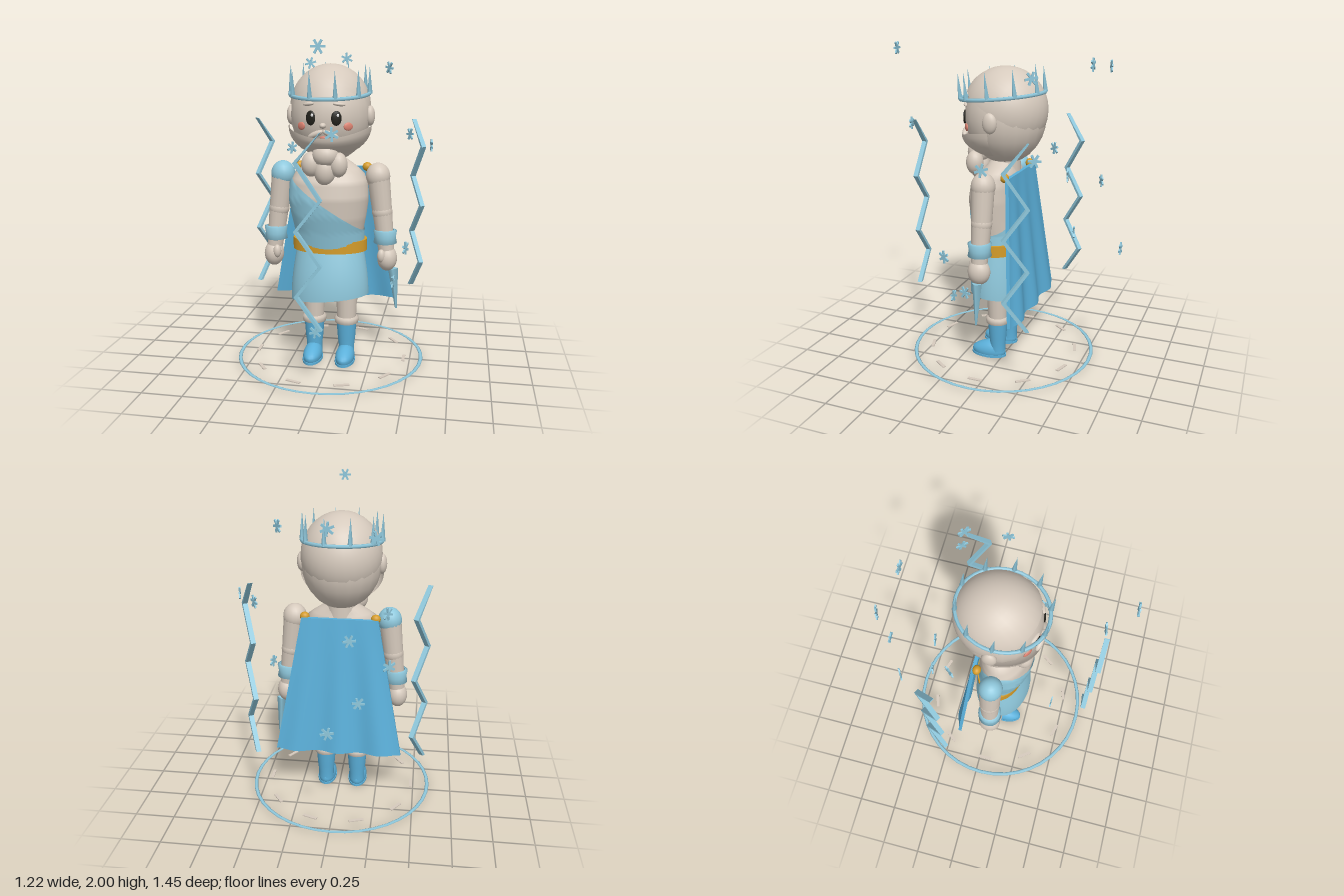
import * as THREE from 'three';
import { ParametricGeometry } from 'three/addons/geometries/ParametricGeometry.js';

const material = (name, color, side = THREE.FrontSide) => {
  const m = new THREE.MeshStandardMaterial({ color, side });
  m.name = name;
  return m;
};

export function createModel() {
  const stone = material('warm stone', 0xd6cabd, THREE.DoubleSide);
  const pale = material('pale ice blue', 0x8fc8dc, THREE.DoubleSide);
  const blue = material('cape blue', 0x5bb0da, THREE.DoubleSide);
  const gold = material('gold', 0xd49c2a);
  const black = material('eye black', 0x22211b);
  const white = material('white', 0xffffff);
  const pink = material('blush', 0xdc8372);

  const root = new THREE.Group();
  root.name = 'winterKing';
  const body = new THREE.Group();
  body.name = 'figure';
  body.position.x = -0.012;
  root.add(body);

  const add = (name, geo, mat, pos = [0, 0, 0], parent = body) => {
    const mesh = new THREE.Mesh(geo, mat);
    mesh.name = name;
    mesh.position.set(...pos);
    parent.add(mesh);
    return mesh;
  };
  const ball = (name, mat, pos, radii) =>
    add(name, new THREE.SphereGeometry(1, 20, 14).scale(...radii), mat, pos);
  const lathe = (name, mat, pts, pos) =>
    add(name, new THREE.LatheGeometry(pts.map(p => new THREE.Vector2(...p)), 18), mat, pos);
  const limb = (name, mat, a, b, ra, rb, sides = 16) => {
    const from = new THREE.Vector3(...a), to = new THREE.Vector3(...b);
    const mesh = add(name, new THREE.CylinderGeometry(rb, ra, from.distanceTo(to), sides), mat);
    mesh.position.lerpVectors(from, to, 0.5);
    mesh.quaternion.setFromUnitVectors(new THREE.Vector3(0, 1, 0), to.sub(from).normalize());
    return mesh;
  };
  const around = (name, mat, fn, rows) => add(name, new ParametricGeometry((u, v, t) => {
    const a = u * Math.PI * 2;
    fn(Math.sin(a), Math.cos(a), v, t);
  }, 32, rows), mat);

  // Torso profile: height, half width, half depth, centre z
  const profile = [[0.74, 0.21, 0.145, 0.04], [0.86, 0.212, 0.152, 0.055], [0.96, 0.232, 0.162, 0.07],
    [1.06, 0.246, 0.166, 0.076], [1.16, 0.24, 0.155, 0.07], [1.22, 0.215, 0.13, 0.055],
    [1.27, 0.15, 0.095, 0.035], [1.31, 0.085, 0.08, 0.025]];
  const section = y => {
    let i = 0;
    while (i < profile.length - 2 && y > profile[i + 1][0]) i++;
    const k = (y - profile[i][0]) / (profile[i + 1][0] - profile[i][0]);
    return profile[i].map((p, j) => p + (profile[i + 1][j] - p) * k);
  };
  around('torso', stone, (s, c, v, t) => {
    const [y, rx, rz, cz] = section(0.74 + 0.57 * v);
    t.set(s * rx, y, cz + c * rz);
  }, 18);
  // Wrapped tunic with a diagonal upper edge
  around('tunicTop', pale, (s, c, v, t) => {
    const top = 1.03 - 0.165 * s;
    const [y, rx, rz, cz] = section(0.74 + (top - 0.74) * v);
    t.set(s * (rx + 0.008), y, cz + c * (rz + 0.008));
  }, 12);
  around('tunicSkirt', pale, (s, c, v, t) => {
    const k = Math.sin((1 - v) * Math.PI / 2);
    const hem = 0.425 + 0.025 * s + 0.012 * c;
    t.set(s * (0.21 + 0.037 * k), hem + (0.75 - hem) * v, 0.04 + 0.015 * k + c * (0.145 + 0.04 * k));
  }, 10);
  add('belt', new THREE.CylinderGeometry(1, 1, 0.072, 32).scale(0.234, 1, 0.155), gold, [0, 0.767, 0.042]);
  limb('neck', stone, [0, 1.24, 0.02], [0, 1.38, 0.02], 0.095, 0.09);

  for (const [s, side] of [[1, 'left'], [-1, 'right']]) {
    // Legs and boots
    const x = s * 0.105;
    limb(side + 'Leg', stone, [x, 0.27, 0.035], [x, 0.56, 0.035], 0.061, 0.075);
    lathe(side + 'LegCuff', stone, [[0.06, 0.238], [0.075, 0.244], [0.077, 0.278], [0.06, 0.285]], [x, 0, 0.035]);
    lathe(side + 'BootShaft', blue, [[0.05, 0.04], [0.05, 0.09], [0.056, 0.14], [0.064, 0.245]], [x, 0, 0.035]);
    const foot = new THREE.SphereGeometry(1, 20, 14).scale(0.06, 0.085, 0.115);
    const p = foot.attributes.position;
    for (let i = 0; i < p.count; i++) {
      const slope = 0.78 - 2.6 * p.getZ(i);
      p.setY(i, p.getY(i) > 0 ? p.getY(i) * slope : Math.max(p.getY(i), -0.025));
    }
    foot.computeVertexNormals();
    add(side + 'BootFoot', foot, blue, [x, 0.034, 0.097]);
    add(side + 'BootSole', new THREE.CylinderGeometry(1, 1, 0.014, 20).scale(0.063, 1, 0.118), blue, [x, 0.008, 0.097]);

    // Arms and hands
    const sleeve = s < 0 ? pale : stone;
    ball(side + 'Shoulder', sleeve, [s * 0.298, 1.2, 0.045], [0.075, 0.082, 0.073]);
    limb(side + 'UpperArm', stone, [s * 0.325, 0.99, 0.045], [s * 0.3, 1.2, 0.045], 0.062, 0.07);
    ball(side + 'Elbow', stone, [s * 0.326, 0.98, 0.045], [0.064, 0.064, 0.064]);
    limb(side + 'Forearm', stone, [s * 0.355, 0.74, 0.05], [s * 0.326, 0.99, 0.045], 0.05, 0.062);
    lathe(side + 'Bracer', pale, [[0.05, 0.778], [0.073, 0.785], [0.066, 0.82], [0.073, 0.862], [0.055, 0.868]],
      [s * 0.348, 0, 0.05]);
    ball(side + 'Hand', stone, [s * 0.362, 0.685, 0.05], [0.062, 0.08, 0.07]);
    ball(side + 'Thumb', stone, [s * 0.33, 0.71, 0.1], [0.025, 0.042, 0.026]);
    ball(side + 'CapeClasp', gold, [s * 0.218, 1.24, -0.06], [0.03, 0.028, 0.026]);
  }
  limb('iceShard', pale, [0.422, 0.36, 0.048], [0.4, 0.62, 0.048], 0.006, 0.032, 4);

  // Cape: a thin slab widened, swept back and folded toward the hem
  const cape = new THREE.BoxGeometry(2, 1, 0.022, 32, 12, 1);
  const cp = cape.attributes.position;
  for (let i = 0; i < cp.count; i++) {
    const u = cp.getX(i), v = 0.5 - cp.getY(i);
    cp.setXYZ(i, u * (0.235 + 0.165 * v), 1.24 - 0.88 * v,
      cp.getZ(i) - 0.08 - 0.092 * v - 0.016 * v * Math.cos(u * Math.PI * 3));
  }
  cape.computeVertexNormals();
  add('cape', cape, blue);

  // Head and hair
  ball('head', stone, [0, 1.57, 0.02], [0.243, 0.285, 0.25]);
  const hair = add('hairCap', new THREE.SphereGeometry(0.262, 28, 12, 0, Math.PI * 2, 0, Math.PI / 2)
    .scale(0.94, 1, 1), stone, [0, 1.613, 0.02]);
  hair.rotation.x = -0.5;
  for (const s of [1, -1]) ball(s > 0 ? 'leftEar' : 'rightEar', stone, [s * 0.243, 1.565, 0.025], [0.03, 0.062, 0.045]);

  // Face details sit on the head surface
  const onFace = (name, mat, x, y, radii, lift = 0, roll = 0) => {
    const q = Math.sqrt(1 - (x / 0.243) ** 2 - ((y - 1.57) / 0.285) ** 2);
    const mesh = ball(name, mat, [x, y, 0.02 + 0.25 * q + lift], radii);
    mesh.rotation.set(0, Math.atan2(x, 0.25 * q), roll);
  };
  for (const s of [1, -1]) {
    const side = s > 0 ? 'left' : 'right';
    onFace(side + 'Eye', black, s * 0.076, 1.565, [0.031, 0.043, 0.01]);
    onFace(side + 'EyeGlint', white, s * 0.076 + 0.01, 1.582, [0.008, 0.01, 0.005], 0.008);
    onFace(side + 'Brow', stone, s * 0.09, 1.645, [0.038, 0.011, 0.014], 0, -s * 0.12);
    onFace(side + 'Cheek', pink, s * 0.14, 1.515, [0.03, 0.024, 0.009]);
    onFace(side + 'Moustache', stone, s * 0.045, 1.472, [0.052, 0.018, 0.02], 0.018, -s * 0.4);
  }
  onFace('nose', stone, 0, 1.523, [0.02, 0.017, 0.026], 0.012);
  onFace('mouth', pink, 0, 1.452, [0.022, 0.009, 0.008], 0.014);

  // Beard: front jaw bowl plus hanging curls
  const bowl = new THREE.SphereGeometry(0.255, 28, 10, 0, Math.PI, Math.PI / 2, Math.PI / 2).scale(1, 0.75, 1);
  const bp = bowl.attributes.position;
  for (let i = 0; i < bp.count; i++) {
    const k = 1 + bp.getY(i) / 0.192;
    bp.setY(i, bp.getY(i) - 0.055 * k * Math.max(0, bp.getZ(i) / 0.255) ** 2);
  }
  bowl.computeVertexNormals();
  add('beard', bowl, stone, [0, 1.505, 0.035]);
  ball('beardCurlTop', stone, [0, 1.34, 0.2], [0.08, 0.07, 0.07]);
  ball('beardCurlLeft', stone, [0.078, 1.285, 0.195], [0.055, 0.075, 0.055]);
  ball('beardCurlRight', stone, [-0.088, 1.285, 0.195], [0.06, 0.075, 0.055]);
  ball('beardCurlBottom', stone, [-0.005, 1.245, 0.195], [0.065, 0.088, 0.062]);

  // Tilted crown with ten ice spikes
  const crown = new THREE.Group();
  crown.name = 'crown';
  crown.position.set(0, 1.7, 0.04);
  crown.rotation.x = 0.1;
  body.add(crown);
  add('crownBand', new THREE.TorusGeometry(1, 0.045, 6, 36).rotateX(Math.PI / 2).scale(0.242, 0.26, 0.262),
    pale, [0, 0, 0], crown);
  for (let i = 0; i < 10; i++) {
    const a = i * Math.PI / 5;
    add('crownSpike', new THREE.ConeGeometry(0.016, 0.165, 4), pale,
      [Math.cos(a) * 0.242, 0.08, Math.sin(a) * 0.262], crown);
  }

  // Ground ring, dashes and three upright zigzag bolts
  const circle = new THREE.Group();
  circle.name = 'iceCircle';
  circle.position.set(-0.011, 0, 0.035);
  root.add(circle);
  add('ring', new THREE.TorusGeometry(0.584, 0.012, 6, 40).rotateX(Math.PI / 2).scale(1, 0.3, 1),
    pale, [0, 0.02, 0], circle);
  for (let i = 0; i < 10; i++) {
    const a = i * Math.PI / 5;
    add('ringDash', new THREE.BoxGeometry(0.02, 0.006, 0.094), stone,
      [Math.cos(a) * 0.474, 0.02, Math.sin(a) * 0.474], circle).rotation.y = -a;
  }
  const zig = [0.41, 0.6, 0.78, 0.975, 1.15, 1.355, 1.52].map((y, i) => [i % 2 ? -0.088 : 0.05, y]);
  const edge = w => zig.map(([x, y], i) => new THREE.Vector2(x + w * (i === 6 ? 0.2 : 1), y));
  const boltShape = new THREE.Shape([...edge(0.011), ...edge(-0.011).reverse()]);
  for (let i = 0; i < 3; i++) {
    add('zigzagBolt', new THREE.ExtrudeGeometry(boltShape, { depth: 0.03, bevelEnabled: false })
      .translate(0, 0, 0.576), pale, [0, 0, 0], circle).rotation.y = i * Math.PI * 2 / 3;
  }

  // Floating snowflakes facing outward
  const flakes = [[0.05, 1.965, 0.72], [0, 1.9, -0.52], [-0.26, 1.87, -0.565], [0.315, 1.845, -0.26],
    [0.1, 1.51, 0.61], [0.45, 1.42, -0.33], [0.6, 1.38, -0.08], [-0.31, 1.33, -0.2], [-0.1, 1.21, -0.355],
    [-0.34, 1.135, -0.51], [-0.16, 0.83, -0.388], [-0.02, 0.81, -0.722], [0.475, 0.8, 0.22],
    [0.395, 0.555, 0.125], [-0.035, 0.31, 0.412]];
  flakes.forEach(([x, y, z], n) => {
    const flake = new THREE.Group();
    flake.name = 'snowflake';
    flake.position.set(x, y, z);
    flake.rotation.set(0, Math.atan2(x + 0.011, z - 0.035), n * 0.4);
    root.add(flake);
    for (let i = 0; i < 3; i++) {
      add('snowflakeBar', new THREE.BoxGeometry(0.078, 0.013, 0.009), pale, [0, 0, 0], flake).rotation.z = i * Math.PI / 3;
    }
  });
  return root;
}
